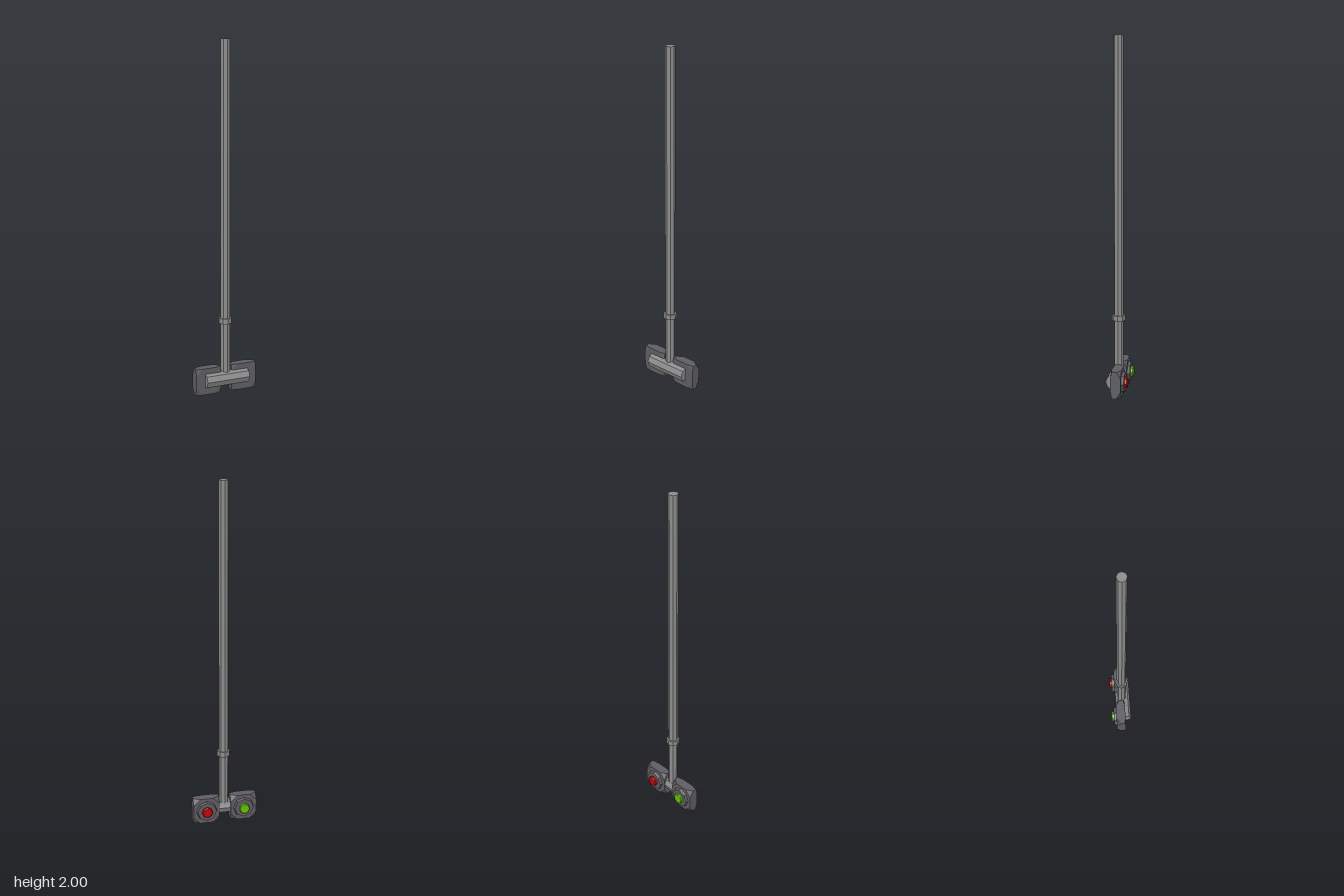
import * as THREE from 'three';
import { ConvexGeometry } from 'three/addons/geometries/ConvexGeometry.js';

const paint = (color) => new THREE.MeshStandardMaterial({ color, flatShading: true });
const steel = paint(0x8c8c8c);
const housing = paint(0x5f5d63);

function add(parent, name, geometry, material, x = 0, y = 0, z = 0) {
  const mesh = new THREE.Mesh(geometry, material);
  mesh.name = name;
  mesh.position.set(x, y, z);
  parent.add(mesh);
  return mesh;
}

// Octagonal bar, corners on the main axes
const octagon = (top, bottom, height) => new THREE.CylinderGeometry(top, bottom, height, 8);

// Square block with its eight corners cut off, deeper at the back than the front
function housingGeometry() {
  const h = 0.077, cut = 0.039, points = [];
  for (const sx of [-1, 1]) for (const sy of [-1, 1]) {
    for (const [face, edge] of [[0.024, 0.016], [-0.033, -0.01]]) {
      points.push(
        new THREE.Vector3(sx * (h - cut), sy * h, face),
        new THREE.Vector3(sx * h, sy * (h - cut), face),
        new THREE.Vector3(sx * h, sy * h, edge),
      );
    }
  }
  return new ConvexGeometry(points);
}

// One lamp head, its lens facing backwards
function lampHead(name, x, color) {
  const head = new THREE.Group();
  head.name = name;
  head.position.set(x, 0.077, 0);
  add(head, 'housing', housingGeometry(), housing);
  const bezel = add(head, 'bezel', octagon(0.056, 0.062, 0.016), housing, 0, 0, -0.04);
  const lens = add(head, 'lens', octagon(0.032, 0.032, 0.012), paint(color), 0, 0, -0.053);
  const lensRim = add(head, 'lensRim', octagon(0.028, 0.032, 0.004), lens.material, 0, 0, -0.061);
  for (const part of [bezel, lens, lensRim]) part.rotation.x = -Math.PI / 2;
  return head;
}

export function createModel() {
  const model = new THREE.Group();
  model.name = 'hangingSignal';

  // Hanging pole and its joint collar
  add(model, 'pole', octagon(0.028, 0.028, 1.92), steel, 0, 1.04, 0.007);
  add(model, 'collar', octagon(0.038, 0.038, 0.03), steel, 0, 0.42, 0.007);

  // Crossbar carrying both heads
  const bar = add(model, 'crossbar', octagon(0.045, 0.045, 0.266), steel, 0, 0.08, 0.015);
  bar.rotation.z = Math.PI / 2;

  model.add(lampHead('leftLamp', 0.111, 0xc00808), lampHead('rightLamp', -0.111, 0x66c008));
  return model;
}
